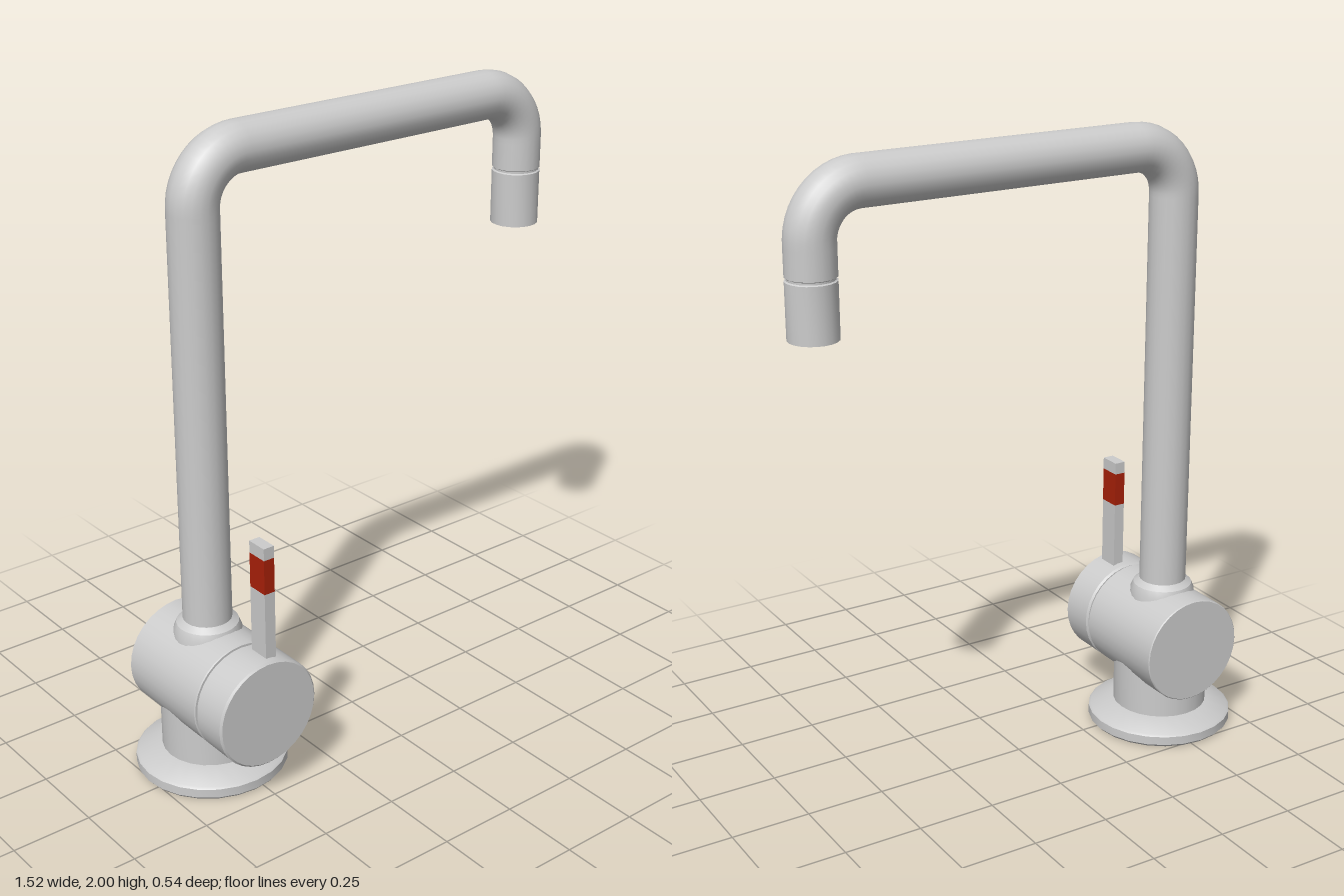
import * as THREE from 'three';
import { toCreasedNormals } from 'three/addons/utils/BufferGeometryUtils.js';

const AXIS_X = -0.53, AXIS_Z = -0.035, BODY_Y = 0.307;
const SPOUT_X = 0.685, PIPE_R = 0.075, BEND = 0.15, PIPE_TOP = 1.925;

export function createModel() {
  const grey = new THREE.MeshStandardMaterial({ color: 0xcccccc });
  const open = new THREE.MeshStandardMaterial({ color: 0xcccccc, side: THREE.DoubleSide });
  const red = new THREE.MeshStandardMaterial({ color: 0xa82008 });
  const model = new THREE.Group();
  model.name = 'mixerTap';

  const add = (name, geometry, material, x, y, z) => {
    const mesh = new THREE.Mesh(geometry, material);
    mesh.name = name;
    mesh.position.set(x, y, z);
    model.add(mesh);
    return mesh;
  };
  // Turned part from [radius, height] pairs, listed bottom to top
  const turned = (profile, sides = 24) => toCreasedNormals(
    new THREE.LatheGeometry(profile.map(([r, h]) => new THREE.Vector2(r, h)), sides), 0.5);
  // Solid drum with small bevels on both rims
  const drum = (r, h0, h1, b) => turned(
    [[0, h0], [r - b, h0], [r, h0 + b], [r, h1 - b], [r - b, h1], [0, h1]], 32);

  // Foot flange and upright stem
  add('baseFlange', turned([[0, 0], [0.228, 0], [0.235, 0.008], [0.235, 0.036],
    [0.228, 0.042], [0.153, 0.068], [0, 0.068]]), grey, AXIS_X, 0, AXIS_Z);
  add('stem', turned([[0.153, 0.06], [0.153, 0.3]]), open, AXIS_X, 0, AXIS_Z);

  // Horizontal valve body, its recessed joint and the turning cap
  const alongZ = (name, geometry) => {
    add(name, geometry, grey, AXIS_X, BODY_Y, 0).rotation.x = Math.PI / 2;
  };
  alongZ('valveBody', drum(0.173, -0.21, 0.137, 0.003));
  alongZ('capJoint', drum(0.163, 0.12, 0.16, 0.002));
  alongZ('handleCap', drum(0.173, 0.146, 0.27, 0.006));

  // Lever with a coloured band
  for (const [name, y0, y1, material] of [
    ['lever', 0.44, 0.69, grey], ['leverBand', 0.69, 0.8, red], ['leverTip', 0.8, 0.838, grey]]) {
    add(name, new THREE.BoxGeometry(0.036, y1 - y0, 0.07), material, -0.5, (y0 + y1) / 2, 0.21);
  }

  // Collar where the pipe leaves the body
  add('pipeCollar', turned([[0.106, 0.42], [0.104, 0.465], [0.095, 0.488], [0.075, 0.503]]),
    open, AXIS_X, 0, AXIS_Z);

  // Bent spout pipe: up, across and down
  const p = (x, y) => new THREE.Vector3(x, y, 0);
  const k = BEND * 0.4477;
  const path = new THREE.CurvePath();
  path.add(new THREE.LineCurve3(p(AXIS_X, 0.4), p(AXIS_X, PIPE_TOP - BEND)));
  path.add(new THREE.CubicBezierCurve3(p(AXIS_X, PIPE_TOP - BEND), p(AXIS_X, PIPE_TOP - k),
    p(AXIS_X + k, PIPE_TOP), p(AXIS_X + BEND, PIPE_TOP)));
  path.add(new THREE.LineCurve3(p(AXIS_X + BEND, PIPE_TOP), p(SPOUT_X - BEND, PIPE_TOP)));
  path.add(new THREE.CubicBezierCurve3(p(SPOUT_X - BEND, PIPE_TOP), p(SPOUT_X - k, PIPE_TOP),
    p(SPOUT_X, PIPE_TOP - k), p(SPOUT_X, PIPE_TOP - BEND)));
  path.add(new THREE.LineCurve3(p(SPOUT_X, PIPE_TOP - BEND), p(SPOUT_X, 1.68)));
  add('spoutPipe', new THREE.TubeGeometry(path, 140, PIPE_R, 20), open, 0, 0, AXIS_Z);

  // Open nozzle with a thin groove above it
  add('nozzle', turned([[PIPE_R, 1.5], [PIPE_R, 1.668], [0.07, 1.671], [0.07, 1.677],
    [PIPE_R, 1.68]], 20), open, SPOUT_X, 0, AXIS_Z);

  return model;
}
